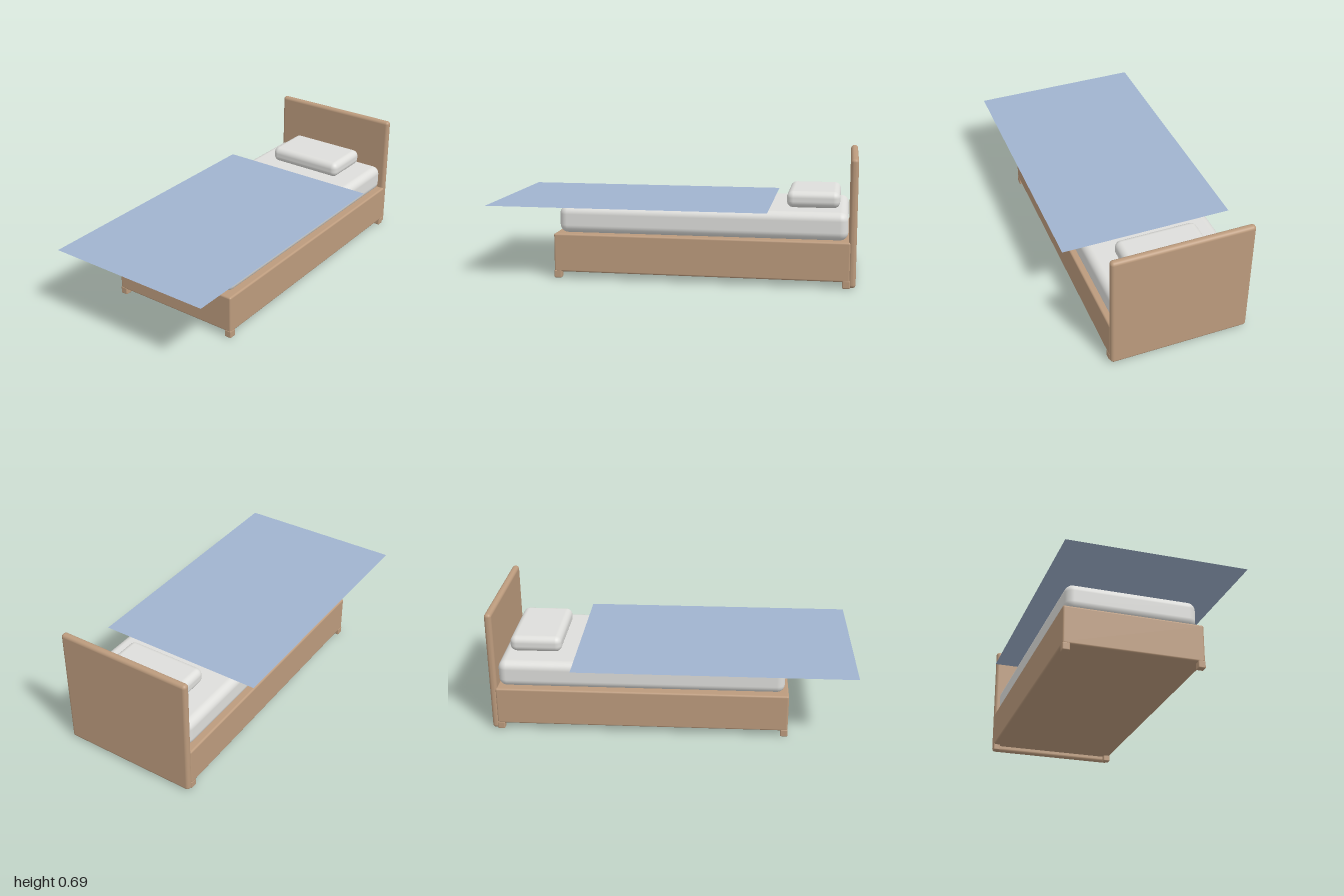
import * as THREE from 'three';
import { RoundedBoxGeometry } from 'three/addons/geometries/RoundedBoxGeometry.js';

export function createModel() {
  const bed = new THREE.Group();
  bed.name = 'bed';

  const flat = (name, color) => {
    const m = new THREE.MeshStandardMaterial({ color });
    m.name = name;
    return m;
  };
  const wood = flat('wood', 0xbc9b7d);
  const linen = flat('linen', 0xdededb);
  const blue = flat('blanketBlue', 0xa0b3cf);
  blue.side = THREE.DoubleSide;

  // Rounded block given by its extents on each axis
  function block(name, material, [x0, x1], [y0, y1], [z0, z1], radius) {
    const geometry = new RoundedBoxGeometry(x1 - x0, y1 - y0, z1 - z0, 4, radius);
    const mesh = new THREE.Mesh(geometry, material);
    mesh.position.set((x0 + x1) / 2, (y0 + y1) / 2, (z0 + z1) / 2);
    mesh.name = name;
    bed.add(mesh);
  }

  // Wooden base and headboard
  block('frame', wood, [-0.385, 0.385], [0.035, 0.248], [-0.97, 0.643], 0.01);
  block('headboard', wood, [-0.385, 0.385], [0.003, 0.69], [-1, -0.96], 0.018);

  // Four short feet at the corners
  for (const side of [-1, 1]) {
    const xs = side < 0 ? [-0.386, -0.345] : [0.345, 0.386];
    const label = side < 0 ? 'Right' : 'Left';
    block('front' + label + 'Foot', wood, xs, [0, 0.043], [0.603, 0.644], 0.006);
    block('back' + label + 'Foot', wood, xs, [0, 0.043], [-0.971, -0.93], 0.006);
  }

  // Bedding
  block('mattress', linen, [-0.363, 0.363], [0.248, 0.398], [-0.955, 0.62], 0.045);
  block('pillow', linen, [-0.23, 0.23], [0.4, 0.49], [-0.908, -0.62], 0.036);

  // Flat blanket sheet overhanging the sides and foot
  const blanket = new THREE.Mesh(new THREE.PlaneGeometry(0.958, 1.535).rotateX(-Math.PI / 2), blue);
  blanket.position.set(0, 0.408, 0.2325);
  blanket.name = 'blanket';
  bed.add(blanket);

  return bed;
}
